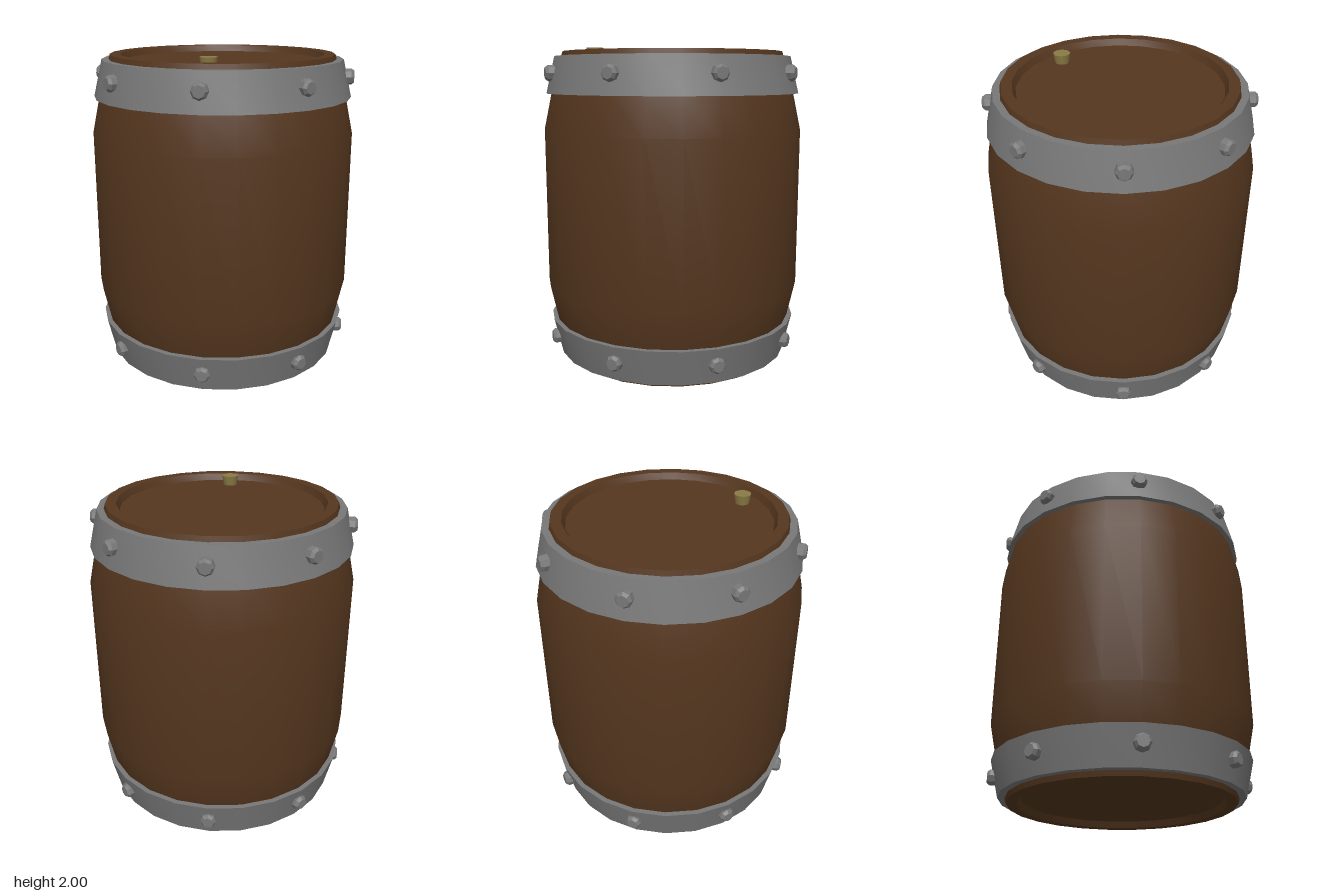
import * as THREE from 'three';
import { toCreasedNormals } from 'three/addons/utils/BufferGeometryUtils.js';

const SIDES = 24;
const wood = new THREE.MeshStandardMaterial({ color: 0x54361e });
const iron = new THREE.MeshStandardMaterial({ color: 0x787878 });
const cork = new THREE.MeshStandardMaterial({ color: 0x8a7a45 });

// Turned part from [radius, y] pairs: smooth around, sharp at steep profile corners
function turned(name, profile, sides, material) {
  const points = profile.map(([r, y]) => new THREE.Vector2(r, y));
  const geometry = toCreasedNormals(new THREE.LatheGeometry(points, sides), 0.5);
  const mesh = new THREE.Mesh(geometry, material);
  mesh.name = name;
  return mesh;
}

// Mirror a bottom profile about mid height (y = 0.99), keeping bottom-to-top order
const mirrored = (profile) => profile.map(([r, y]) => [r, 1.98 - y]).reverse();

export function createModel() {
  const model = new THREE.Group();
  model.name = 'barrel';

  // Bulging body with a recessed head at each end
  const lower = [[0, 0.04], [0.62, 0.04], [0.64, 0], [0.705, 0], [0.78, 0.26], [0.83, 0.49]];
  model.add(turned('body', [...lower, ...mirrored(lower)], SIDES, wood));

  // Tapered iron hoops, closed ring sections
  const lowerHoop = [[0.7, 0.03], [0.757, 0.03], [0.812, 0.26], [0.77, 0.26], [0.7, 0.03]];
  const upperHoop = [[0.77, 1.72], [0.812, 1.72], [0.757, 1.95], [0.7, 1.95], [0.77, 1.72]];
  model.add(turned('lowerHoop', lowerHoop, SIDES, iron));
  model.add(turned('upperHoop', upperHoop, SIDES, iron));

  // Eight chamfered rivets on each hoop, pointing outward
  const rivetProfile = [[0.05, 0.74], [0.05, 0.807], [0.036, 0.825], [0, 0.825]];
  for (const [hoop, y] of [['lower', 0.155], ['upper', 1.845]]) {
    const rivets = new THREE.Group();
    rivets.name = hoop + 'Rivets';
    for (let i = 0; i < 8; i++) {
      const rivet = turned('rivet', rivetProfile, 8, iron);
      rivet.rotation.set(Math.PI / 2, (i * Math.PI) / 4, 0, 'YXZ');
      rivet.position.y = y;
      rivets.add(rivet);
    }
    model.add(rivets);
  }

  // Stopper in the top head
  const stopper = turned('stopper', [[0, 1.93], [0.042, 1.93], [0.053, 2], [0, 2]], 16, cork);
  stopper.position.z = 0.51;
  model.add(stopper);

  return model;
}
